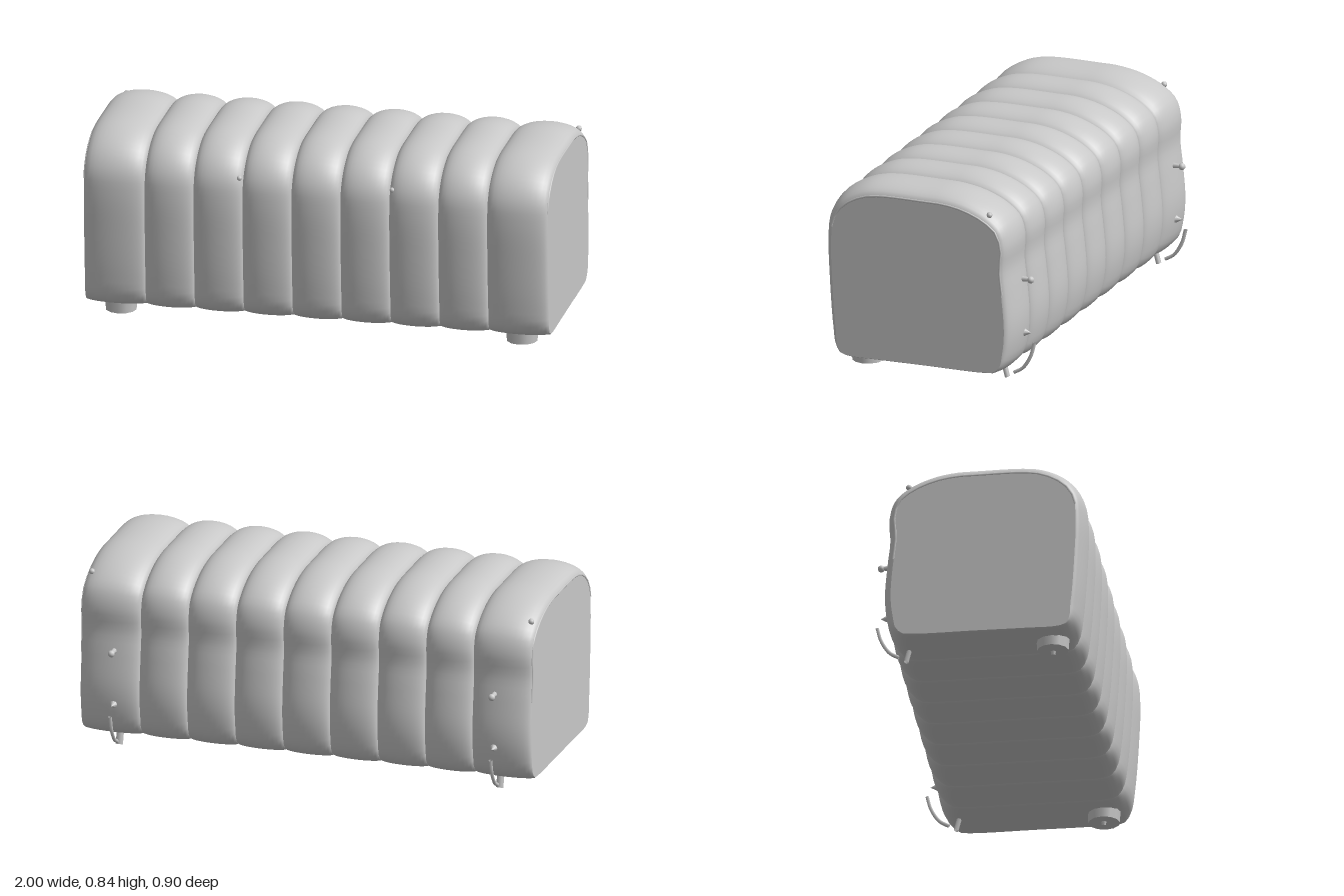
import * as THREE from 'three';

const upholstery = new THREE.MeshStandardMaterial({ color: 0xc8c8c8 });
upholstery.name = 'grey upholstery';
upholstery.side = THREE.DoubleSide;

// Cushion outline as [z, y]: up the front, over the top, down the back
const outline = [
  [0.2, 0.055], [0.34, 0.057], [0.385, 0.07], [0.415, 0.11], [0.43, 0.2], [0.445, 0.4], [0.451, 0.58],
  [0.442, 0.67], [0.41, 0.735], [0.36, 0.782], [0.28, 0.82], [0.2, 0.833], [0, 0.833], [-0.1, 0.83],
  [-0.2, 0.81], [-0.3, 0.765], [-0.36, 0.71], [-0.384, 0.63], [-0.38, 0.53], [-0.391, 0.43],
  [-0.403, 0.28], [-0.395, 0.18], [-0.372, 0.1], [-0.33, 0.062], [-0.28, 0.055], [0, 0.055],
];
const curve = new THREE.CatmullRomCurve3(outline.map(([z, y]) => new THREE.Vector3(0, y, z)), true);
const N = 96;

// One ring of the outline at x, drawn inwards; the flat base is drawn in least
function ring(x, inset) {
  const pts = [];
  for (let j = 0; j <= N; j++) {
    const u = (j % N) / N;
    const p = curve.getPointAt(u), t = curve.getTangentAt(u);
    const ny = -t.z, nz = t.y;
    const d = inset * (0.7 + ny * (ny > 0 ? 0.3 : 0.5));
    pts.push(x, p.y - ny * d, p.z - nz * d);
  }
  return pts;
}

function build(positions, index) {
  const g = new THREE.BufferGeometry();
  g.setAttribute('position', new THREE.Float32BufferAttribute(positions, 3));
  g.setIndex(index);
  g.computeVertexNormals();
  return g;
}

// Puffed channel between two seams
function channelGeometry(x0, x1) {
  const steps = 14, pos = [], index = [];
  for (let i = 0; i <= steps; i++) {
    const a = (i / steps - 0.5) * Math.PI;
    pos.push(...ring((x0 + x1) / 2 + (x1 - x0) / 2 * Math.sin(a), 0.053 * (1 - Math.cos(a))));
  }
  const w = N + 1;
  for (let i = 0; i < steps; i++) {
    for (let j = 0; j < N; j++) {
      const a = i * w + j, b = a + w;
      index.push(a, b, b + 1, a, b + 1, a + 1);
    }
  }
  return build(pos, index);
}

// Flat end panel
function endGeometry(side) {
  const pos = [side * 0.995, 0.42, 0.03, ...ring(side * 0.995, 0.053)], index = [];
  for (let j = 1; j <= N; j++) index.push(0, ...(side > 0 ? [j + 1, j] : [j, j + 1]));
  return build(pos, index);
}

export function createModel() {
  const model = new THREE.Group();
  model.name = 'channelBench';
  const add = (name, geometry, x = 0, y = 0, z = 0, parent = model) => {
    const mesh = new THREE.Mesh(geometry, upholstery);
    mesh.name = name;
    mesh.position.set(x, y, z);
    parent.add(mesh);
    return mesh;
  };
  const tube = (points, radius) => new THREE.TubeGeometry(
    new THREE.CatmullRomCurve3(points.map(p => new THREE.Vector3(...p))), 24, radius, 6);

  // Nine channels, the outer two wider
  const seams = [-0.995, -0.735, -0.525, -0.315, -0.105, 0.105, 0.315, 0.525, 0.735, 0.995];
  for (let i = 0; i < 9; i++) add('channel' + (i + 1), channelGeometry(seams[i], seams[i + 1]));

  for (const s of [-1, 1]) {
    const end = new THREE.Group();
    end.name = s > 0 ? 'leftEnd' : 'rightEnd';
    model.add(end);
    add('endPanel', endGeometry(s), 0, 0, 0, end);

    // Piping over the top edge of the end panel
    const rim = ring(s * 0.993, 0.05), path = [];
    for (let j = 0; j < N; j++) {
      const [x, y, z] = rim.slice(j * 3, j * 3 + 3);
      if (y > (z > 0 ? 0.62 : 0.4)) path.push([x, y, z]);
    }
    add('piping', tube(path, 0.005), 0, 0, 0, end);

    // Front foot with a small centre stud
    add('frontFoot', new THREE.CylinderGeometry(0.07, 0.066, 0.05, 12), s * 0.86, 0.041, 0.302, end);
    add('footStud', new THREE.CylinderGeometry(0.012, 0.008, 0.02, 8), s * 0.85, 0.01, 0.302, end);

    // Back fin, curved strap and fittings
    add('backFin', tube([[0, 0.065, -0.305], [0, 0.035, -0.313], [0, 0.008, -0.32]], 0.01), s * 0.84, 0, 0, end)
      .scale.x = 1.6;
    add('backStrap', tube([[0, 0.03, -0.35], [0, 0.055, -0.39], [0, 0.11, -0.425], [0, 0.17, -0.442]], 0.008),
      s * 0.84, 0, 0, end);
    add('knobStem', new THREE.CylinderGeometry(0.008, 0.012, 0.04, 8), s * 0.84, 0.446, -0.408, end)
      .rotation.x = -Math.PI / 2;
    add('knob', new THREE.SphereGeometry(0.015, 10, 8), s * 0.84, 0.445, -0.425, end);
    add('peg', new THREE.ConeGeometry(0.022, 0.04, 8), s * 0.84, 0.212, -0.408, end)
      .rotation.x = -Math.PI / 2;

    // Small buttons
    add('cornerButton', new THREE.SphereGeometry(0.013, 8, 6), s * 0.97, 0.752, -0.292, end);
    add('frontButton', new THREE.SphereGeometry(0.011, 8, 6), s * 0.328, 0.68, 0.415, end);
  }
  return model;
}
